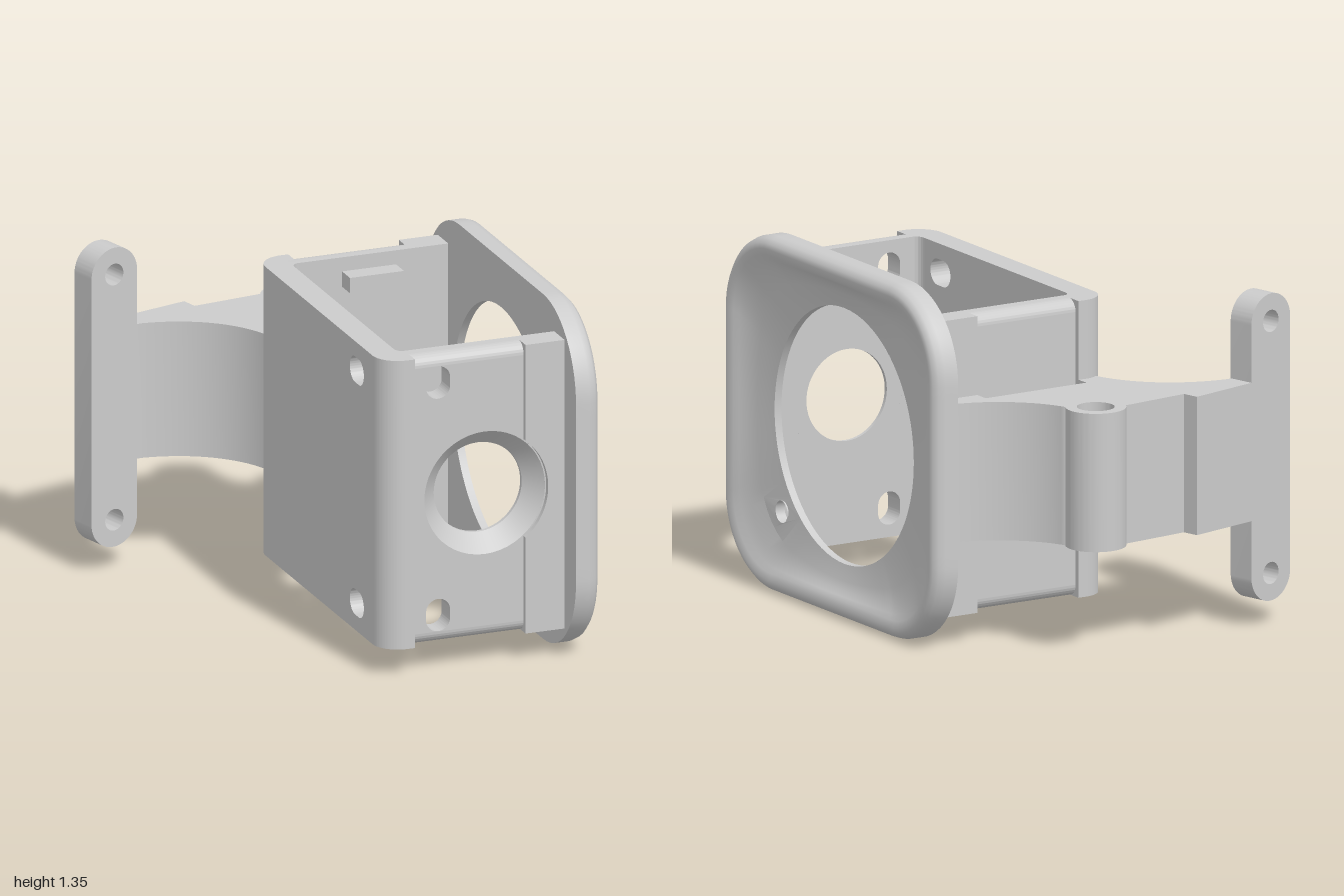
import * as THREE from 'three';
import { toCreasedNormals } from 'three/addons/utils/BufferGeometryUtils.js';

const mat = new THREE.MeshStandardMaterial({ color: 0xcccccc, side: THREE.DoubleSide });
const HALF_H = 0.565;               // half height of the housing
const LENS_R = 0.4875;              // big opening in the face plate
const PIN = { u: -0.423, v: -0.377, r: 0.042 };

function add(parent, geometry, name) {
  const mesh = new THREE.Mesh(geometry, mat);
  mesh.name = name;
  parent.add(mesh);
  return mesh;
}
function poly(points) {
  return new THREE.Shape(points.map(([x, y]) => new THREE.Vector2(x, y)));
}
function circle(x, y, r) {
  return new THREE.Path().absarc(x, y, r, 0, Math.PI * 2, true);
}
// Slot with round ends; dx and dy are the half distances between end centres
function slot(x, y, dx, dy, r) {
  const a = dy > 0 ? 0 : -Math.PI / 2;
  return new THREE.Path()
    .absarc(x + dx, y + dy, r, a, a + Math.PI, false)
    .absarc(x - dx, y - dy, r, a + Math.PI, a + Math.PI * 2, false);
}
function extrude(shape, depth) {
  const g = new THREE.ExtrudeGeometry(shape, { depth, bevelEnabled: false, curveSegments: 24 });
  return toCreasedNormals(g, 0.5);
}
const alongZ = (shape, z0, z1) => extrude(shape, z1 - z0).translate(0, 0, z0);
// Shape drawn in (-z, y), pushed along x
const alongX = (shape, x0, x1) => alongZ(shape, x0, x1).rotateY(Math.PI / 2);
// Shape drawn in (x, -z), pushed up along y
const alongY = (shape, y0, y1) => alongZ(shape, y0, y1).rotateX(-Math.PI / 2);

// Rounded rectangle outline with outward normals, evenly divided sides
function outline(w, h, r) {
  const out = [], corners = [[1, 1], [-1, 1], [-1, -1], [1, -1]];
  corners.forEach(([sx, sy], k) => {
    const c = new THREE.Vector2(sx * (w - r), sy * (h - r));
    for (let i = 0; i <= 14; i++) {
      const a = (k + i / 14) * Math.PI / 2;
      const n = new THREE.Vector2(Math.cos(a), Math.sin(a));
      out.push({ p: c.clone().addScaledVector(n, r), n });
    }
    const [nx, ny] = corners[(k + 1) % 4];
    const end = new THREE.Vector2(nx * (w - r), ny * (h - r));
    const { p, n } = out[out.length - 1];
    const q = end.addScaledVector(n, r);
    for (let i = 1; i < 14; i++) out.push({ p: p.clone().lerp(q, i / 14), n });
  });
  return out;
}

// Dished face plate with a round opening, built in (u, v, w) with w outward
function facePlate() {
  const plate = new THREE.Group();
  plate.name = 'facePlate';
  const edge = outline(0.75, 0.675, 0.33), N = edge.length;
  const inset = d => edge.map(e => e.p.clone().addScaledVector(e.n, -d));
  const round = edge.map(e => e.p.clone().setLength(LENS_R));
  const lip = inset(0.07);
  const blend = t => round.map((c, i) => c.clone().lerp(lip[i], t));
  const rings = [
    [blend(0), 0.455], [blend(0.5), 0.470], [blend(0.75), 0.487], [blend(0.9), 0.503], [lip, 0.515],
    [inset(0.045), 0.524], [inset(0.025), 0.520], [inset(0.008), 0.505],
    [inset(0), 0.48], [inset(0), 0.425],
  ];
  const pinAngle = Math.atan2(PIN.v, PIN.u);
  const near = i => Math.abs(edge[i % N].p.angle() - (pinAngle + Math.PI * 2)) < 0.2;
  const pos = [], index = [], patch = [];
  rings.forEach(([pts, w]) => pts.forEach(p => pos.push(p.x, p.y, w)));
  for (let j = 0; j < rings.length - 1; j++) for (let i = 0; i < N; i++) {
    if (j === 0 && near(i) && near(i + 1)) { patch.push(i); continue; }
    const a = j * N + i, b = j * N + (i + 1) % N;
    index.push(a, a + N, b, b, a + N, b + N);
  }
  const skin = new THREE.BufferGeometry();
  skin.setAttribute('position', new THREE.Float32BufferAttribute(pos, 3));
  skin.setIndex(index);
  skin.computeVertexNormals();
  add(plate, skin, 'dishedFace');

  // Piece of the dish pierced by the pin hole
  const ids = [...patch, patch[patch.length - 1] + 1];
  const piece = new THREE.Shape([
    ...ids.map(i => rings[0][0][i]),
    ...ids.slice().reverse().map(i => rings[1][0][i]),
  ]);
  piece.holes.push(circle(PIN.u, PIN.v, PIN.r));
  const pg = new THREE.ShapeGeometry(piece, 16), pp = pg.attributes.position;
  for (let i = 0; i < pp.count; i++) {
    const r = Math.hypot(pp.getX(i), pp.getY(i));
    pp.setZ(i, 0.455 + 0.015 * THREE.MathUtils.clamp((r - LENS_R) / 0.13, 0, 1));
  }
  pg.computeVertexNormals();
  add(plate, pg, 'pinHoleSurround');

  // Flat back and the walls of both openings
  const back = new THREE.Shape(inset(0));
  back.holes.push(circle(0, 0, LENS_R), circle(PIN.u, PIN.v, PIN.r));
  add(plate, new THREE.ShapeGeometry(back, 48).rotateY(Math.PI).scale(-1, 1, 1).translate(0, 0, 0.425), 'plateBack');
  const bore = (r, d) => new THREE.CylinderGeometry(r, r, d, 96, 1, true).rotateX(Math.PI / 2);
  add(plate, bore(LENS_R, 0.03).translate(0, 0, 0.44), 'openingWall');
  add(plate, bore(PIN.r, 0.04).translate(PIN.u, PIN.v, 0.445), 'pinHoleWall');
  plate.rotation.y = Math.PI / 2;
  return plate;
}

// One side of the housing, built on +z
function sideWall(pierced) {
  const side = new THREE.Group();
  side.name = pierced ? 'portSide' : 'bracketSide';
  const portX = 0.115, flat = 0.519, r = HALF_H - flat;
  const panel = poly([[-0.2, -flat], [0.425, -flat], [0.425, flat], [-0.2, flat]]);
  const block = new THREE.Shape().moveTo(0.27, -HALF_H).lineTo(0.425, -HALF_H)
    .lineTo(0.425, HALF_H).lineTo(0.27, HALF_H);
  if (pierced) {
    panel.holes.push(circle(portX, 0, 0.24));
    for (const s of [-1, 1]) panel.holes.push(slot(-0.07, s * 0.455, 0, 0.015, 0.048));
    block.lineTo(0.27, 0.19).absarc(portX, 0, 0.245, 0.886, -0.886, true);
    const cone = [[0.175, 0.53], [0.175, 0.545], [0.24, 0.615]].map(p => new THREE.Vector2(...p));
    const funnel = toCreasedNormals(new THREE.LatheGeometry(cone, 64), 0.5);
    add(side, funnel.rotateX(Math.PI / 2).translate(portX, 0, 0), 'portFunnel');
    const ring = new THREE.RingGeometry(0.175, 0.24, 64).rotateY(Math.PI);
    add(side, ring.translate(portX, 0, 0.53), 'portBackRing');
  }
  add(side, alongZ(panel, 0.53, 0.615), 'sidePanel');
  add(side, alongZ(block, 0.53, 0.635), 'frontBlock');
  // Rounded upper and lower edges
  for (const s of [-1, 1]) {
    const strip = new THREE.Shape().moveTo(-0.53, s * flat).lineTo(-0.615, s * flat)
      .absarc(-0.615 + r, s * flat, r, Math.PI, s * Math.PI / 2, s > 0)
      .lineTo(-0.53, s * HALF_H);
    add(side, alongX(strip, -0.2, 0.27), 'roundedEdge');
  }
  // Rounded rear corner post, with a fillet inside
  const corner = new THREE.Shape().moveTo(-0.3, -0.49).lineTo(-0.3, -0.535)
    .absarc(-0.2, -0.535, 0.1, Math.PI, Math.PI * 1.5, false)
    .lineTo(-0.17, -0.635).lineTo(-0.17, -0.53).quadraticCurveTo(-0.2, -0.53, -0.2, -0.49);
  add(side, alongY(corner, -HALF_H, HALF_H), 'rearCorner');
  return side;
}

export function createModel() {
  const model = new THREE.Group();
  model.name = 'cameraMount';

  // Housing, turned about the vertical
  const housing = new THREE.Group();
  housing.name = 'housing';
  housing.rotation.y = -Math.PI / 12;
  housing.position.set(-0.041, 0.675, 0.155);
  model.add(housing);
  housing.add(facePlate(), sideWall(true));
  const far = sideWall(false);
  far.rotation.x = Math.PI;
  housing.add(far);

  const rear = poly([[-0.49, -HALF_H], [0.49, -HALF_H], [0.49, HALF_H], [-0.49, HALF_H]]);
  for (const s of [-1, 1]) rear.holes.push(slot(-0.38, s * 0.455, 0.02, 0, 0.05));
  add(housing, alongX(rear, -0.3, -0.2), 'rearWall');
  for (const s of [-1, 1]) {
    const tab = new THREE.BoxGeometry(0.215, 0.06, 0.09).translate(0.11, s * 0.48, -0.495);
    add(housing, tab, 'innerTab');
  }

  // Bracket arm with a hinge boss, drawn in (x, -z)
  const arm = new THREE.Shape().moveTo(-0.47, 1).lineTo(-0.47, 0.9).lineTo(-0.425, 0.895)
    .bezierCurveTo(-0.25, 0.83, -0.13, 0.68, -0.13, 0.49)
    .lineTo(-0.05, 0.47).lineTo(-0.03, 0.553).lineTo(0.4, 0.445).lineTo(0.375, 0.36)
    .lineTo(0.5, 0.33).lineTo(0.565, 0.415)
    .bezierCurveTo(0.43, 0.46, 0.31, 0.61, 0.297, 0.75)
    .absarc(0.215, 0.83, 0.113, -0.77, 2.5, false)
    .lineTo(-0.15, 0.935).lineTo(-0.15, 1);
  arm.holes.push(circle(0.215, 0.83, 0.07));
  add(model, alongY(arm, 0.413, 0.94), 'bracketArm');

  // Upright mounting strip with two screw holes
  const strip = new THREE.Shape()
    .absarc(-0.55, 1.157, 0.105, 0, Math.PI, false)
    .absarc(-0.55, 0.197, 0.105, Math.PI, Math.PI * 2, false);
  for (const y of [0.197, 1.157]) strip.holes.push(circle(-0.55, y, 0.042));
  add(model, alongZ(strip, -1, -0.895), 'mountingStrip');
  return model;
}
